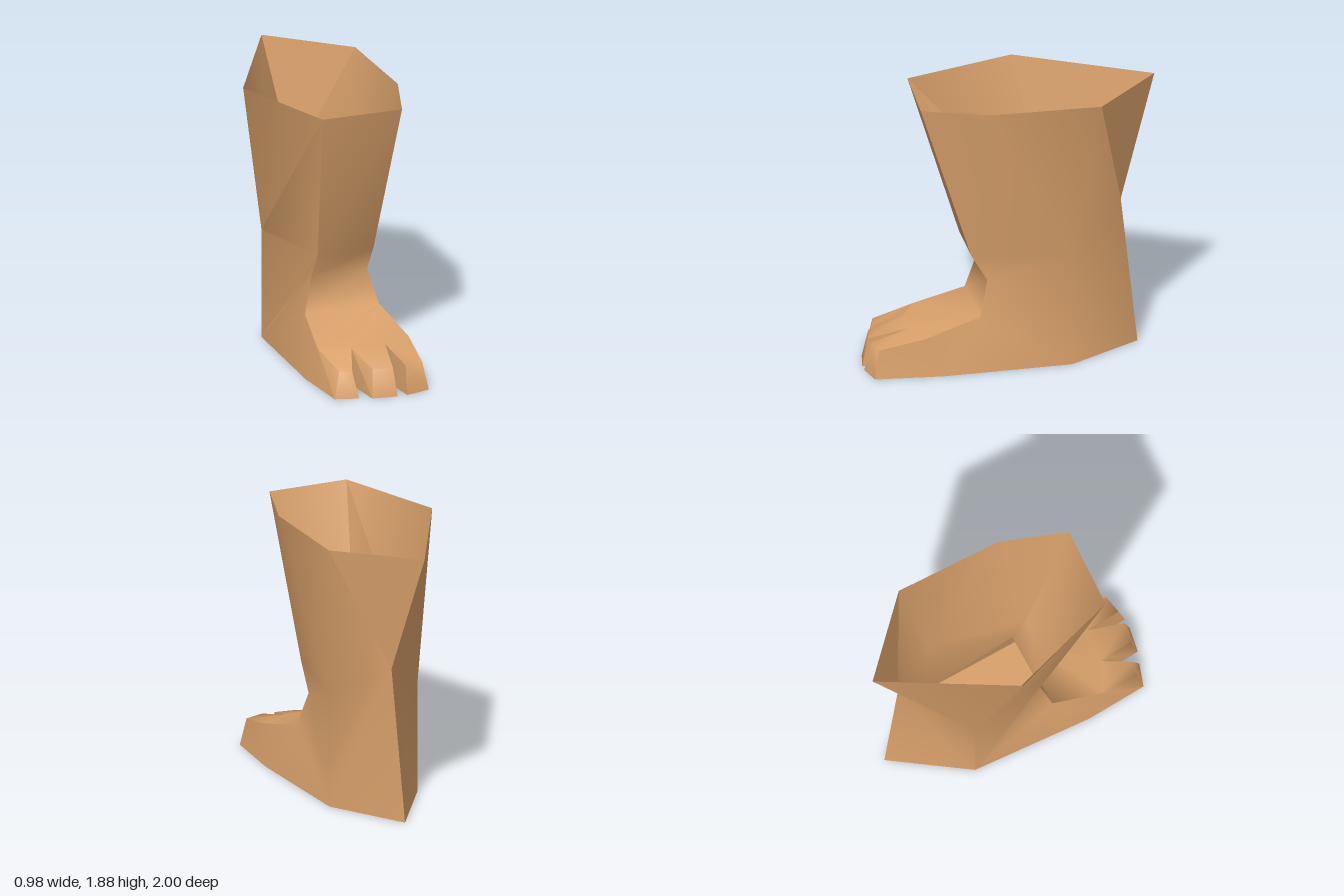
import * as THREE from 'three';
import { toCreasedNormals } from 'three/addons/utils/BufferGeometryUtils.js';

const skin = new THREE.MeshStandardMaterial({ color: 0xd8a06a, side: THREE.DoubleSide });
skin.name = 'skin';

// Landmark points of the leg and foot
const P = {
  // open upper rim
  rimBack: [0, 1.88, -1], rimBackL: [0.485, 1.88, -0.55], rimSideL: [0.485, 1.88, 0.19],
  rimFrontL: [0.33, 1.88, 0.64], rimFrontR: [-0.23, 1.88, 0.62], rimSideR: [-0.49, 1.88, -0.13],
  // ankle
  calf: [0.12, 1.05, -0.75], ankleL: [0.39, 0.78, -0.37], ankleR: [-0.26, 0.76, -0.37],
  shinL: [0.27, 0.79, 0.29], shinR: [-0.13, 0.79, 0.29],
  bendL: [0.27, 0.6, 0.18], bendR: [-0.13, 0.6, 0.18],
  // foot
  instepL: [0.33, 0.365, 0.24], instepR: [-0.2, 0.365, 0.24],
  knuckleL: [0.385, 0.26, 0.62], knuckleR: [-0.25, 0.25, 0.58],
  notchR: [-0.05, 0.26, 0.68], notchL: [0.185, 0.26, 0.7],
  // ground outline
  heel: [0.08, 0, -0.87], soleL: [0.39, 0, -0.37], soleR: [-0.26, 0, -0.37],
  ballL: [0.425, 0, 0.5], ballR: [-0.29, 0, 0.47],
  slitR: [-0.05, 0, 0.68], slitL: [0.185, 0, 0.7],
};

// Toes: back corners by name, then front top and front ground corners (right, left)
const toes = [
  { back: ['knuckleR', 'notchR', 'ballR', 'slitR'],
    top: [[-0.21, 0.18, 0.86], [-0.125, 0.17, 0.88]], ground: [[-0.255, 0, 0.89], [-0.1, 0, 0.94]] },
  { back: ['notchR', 'notchL', 'slitR', 'slitL'],
    top: [[0, 0.19, 0.93], [0.135, 0.19, 0.955]], ground: [[-0.02, 0, 0.97], [0.15, 0, 1]] },
  { back: ['notchL', 'knuckleL', 'slitL', 'ballL'],
    top: [[0.225, 0.195, 0.955], [0.355, 0.19, 0.93]], ground: [[0.22, 0, 1], [0.39, 0, 0.96]] },
];

// Faces of each part, as corner names
const skinParts = {
  leg: [
    'rimBackL rimSideL ankleL', 'rimSideL rimFrontL shinL', 'rimSideL shinL ankleL',
    'rimFrontL rimFrontR shinR shinL', 'rimFrontR rimSideR ankleR shinR',
    'rimSideR rimBack ankleR', 'rimBack calf ankleR', 'rimBackL ankleL calf',
  ],
  ankle: [
    'calf ankleL soleL heel', 'ankleL shinL bendL soleL', 'shinL shinR bendR bendL',
    'shinR ankleR soleR bendR', 'ankleR calf soleR', 'calf heel soleR',
  ],
  foot: [
    'soleL bendL instepL', 'soleL instepL ballL', 'instepL knuckleL ballL',
    'bendL bendR instepR instepL',
    'soleR instepR bendR', 'soleR ballR instepR', 'instepR ballR knuckleR',
    'instepL instepR knuckleR notchR notchL knuckleL',
  ],
};

// Fan each polygon into triangles
function triangles(polygons) {
  const out = [];
  for (const p of polygons)
    for (let i = 1; i < p.length - 1; i++) out.push(...p[0], ...p[i], ...p[i + 1]);
  return out;
}

function smooth(positions, crease) {
  const g = new THREE.BufferGeometry();
  g.setAttribute('position', new THREE.Float32BufferAttribute(positions, 3));
  return toCreasedNormals(g, crease);
}

export function createModel() {
  const group = new THREE.Group();
  const add = (name, geometry) => {
    const mesh = new THREE.Mesh(geometry, skin);
    mesh.name = name;
    group.add(mesh);
  };

  // Gather leg, ankle, foot and toes so that shading flows across their seams
  const parts = Object.entries(skinParts).map(([name, faces]) =>
    [name, triangles(faces.map((f) => f.split(' ').map((k) => P[k])))]);
  toes.forEach(({ back, top: [tr, tl], ground: [gr, gl] }, i) => {
    const [br, bl, cr, cl] = back.map((k) => P[k]);
    parts.push([`toe${i + 1}`, triangles([
      [br, tr, tl, bl], [tr, gr, gl, tl], [br, cr, gr, tr], [tl, gl, cl, bl],
    ])]);
  });
  const whole = smooth(parts.flatMap(([, tris]) => tris), 1.15);
  let start = 0;
  for (const [name, tris] of parts) {
    const g = new THREE.BufferGeometry();
    for (const key of ['position', 'normal']) {
      const slice = whole.attributes[key].array.slice(start, start + tris.length);
      g.setAttribute(key, new THREE.BufferAttribute(slice, 3));
    }
    start += tris.length;
    add(name, g);
  }

  // Sharp-edged flat facet at the back of the calf
  add('calfFacet', smooth(triangles([[P.rimBack, P.rimBackL, P.calf]]), 0));

  // Flat sole with slits between the toes
  const outline = [P.heel, P.soleL, P.ballL,
    toes[2].ground[1], toes[2].ground[0], P.slitL,
    toes[1].ground[1], toes[1].ground[0], P.slitR,
    toes[0].ground[1], toes[0].ground[0], P.ballR, P.soleR];
  const shape = new THREE.Shape(outline.map(([x, , z]) => new THREE.Vector2(x, z)));
  add('sole', new THREE.ShapeGeometry(shape).rotateX(Math.PI / 2));

  return group;
}
